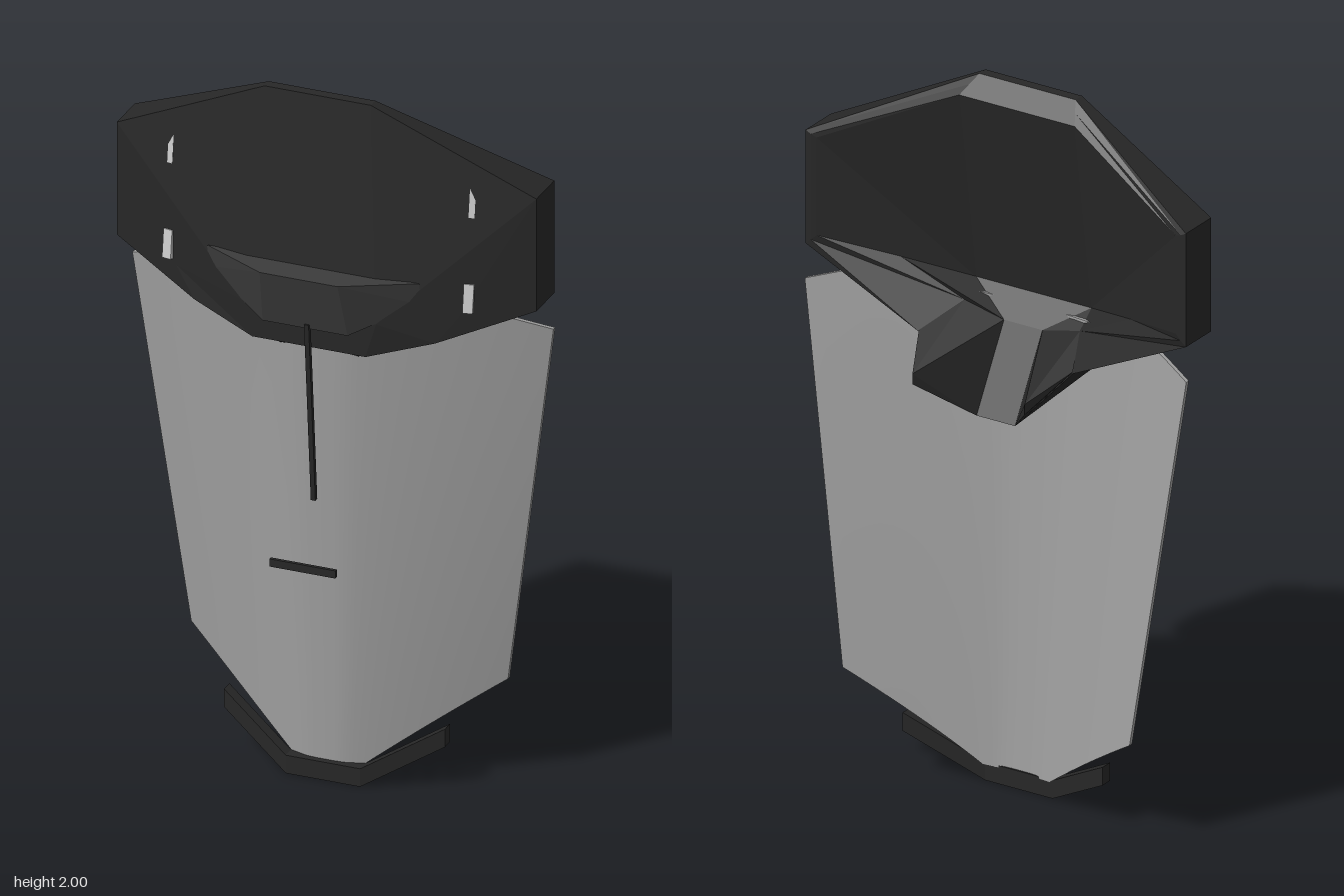
import * as THREE from 'three';
import { ConvexGeometry } from 'three/addons/geometries/ConvexGeometry.js';

const dark = new THREE.MeshStandardMaterial({ color: 0x272727, flatShading: true, side: THREE.DoubleSide });
const billDark = new THREE.MeshStandardMaterial({ color: 0x3c3c3c, flatShading: true });
const grey = new THREE.MeshStandardMaterial({ color: 0xa0a0a0 });
const light = new THREE.MeshStandardMaterial({ color: 0xcccccc });

function add(group, name, geometry, material, x = 0, y = 0, z = 0) {
  const mesh = new THREE.Mesh(geometry, material);
  mesh.name = name;
  mesh.position.set(x, y, z);
  group.add(mesh);
  return mesh;
}

// Move every vertex of a geometry by a rule
function warp(geometry, rule) {
  const p = geometry.attributes.position;
  const v = new THREE.Vector3();
  for (let i = 0; i < p.count; i++) {
    rule(v.fromBufferAttribute(p, i));
    p.setXYZ(i, v.x, v.y, v.z);
  }
  geometry.computeVertexNormals();
  return geometry;
}

const hull = (points) => new ConvexGeometry(points.map((p) => new THREE.Vector3(...p)));
const mirrored = (points) => points.concat(points.map(([x, y, z]) => [-x, y, z]));

// Full ten-point ring from its +x half: top, shoulder, side, lower, bottom
function ring([t, s, l, m, b]) {
  const n = ([x, y, z]) => [-x, y, z];
  return [t, n(t), n(s), n(l), n(m), n(b), b, m, l, s];
}

// Hollow brow shell lofted from the front panel, under the lip, round the rim, into the inside
function browGeometry() {
  const front = [[0.15, 2, 0.09], [0.593, 1.785, 0.03], [0.593, 1.46, 0.03]];
  const rings = [
    [...front, [0.4, 1.435, 0.09], [0.19, 1.4, 0.15]],
    [...front, [0.34, 1.355, 0.11], [0.16, 1.3, 0.15]],
    [...front, [0.3, 1.335, 0.06], [0.115, 1.272, 0.09]],
    [[0.15, 2, 0.06], [0.593, 1.785, -0.09], [0.593, 1.46, -0.09], [0.24, 1.295, -0.09], [0.06, 1.1, -0.09]],
    [[0.165, 1.975, 0.035], [0.577, 1.777, -0.091], [0.577, 1.475, -0.091], [0.18, 1.355, 0.035], [0.06, 1.325, 0.04]],
    [[0.18, 1.95, 0.01], [0.56, 1.77, -0.088], [0.56, 1.49, -0.088], [0.36, 1.445, 0.005], [0.18, 1.4, 0.09]],
  ].map(ring);
  const last = rings.length - 1;
  const cap = [[0, 1, 5], [0, 5, 6], [1, 2, 5], [2, 3, 4], [2, 4, 5], [0, 6, 9], [9, 6, 7], [9, 7, 8]];
  const out = [];
  const tri = (...corners) => {
    if (new Set(corners.map(String)).size === 3) out.push(...corners.flat());
  };
  for (const [i, j, k] of cap) {
    tri(rings[0][i], rings[0][j], rings[0][k]);
    tri(rings[last][k], rings[last][j], rings[last][i]);
  }
  for (let r = 0; r < last; r++) {
    const a = rings[r], b = rings[r + 1];
    for (let i = 0; i < 10; i++) {
      const j = (i + 1) % 10;
      tri(a[i], b[i], b[j]);
      tri(a[i], b[j], a[j]);
    }
  }
  const g = new THREE.BufferGeometry();
  g.setAttribute('position', new THREE.Float32BufferAttribute(out, 3));
  g.computeVertexNormals();
  return g;
}

// Curved face plate: a thin box bent back at the sides and tapered to the chin
function plateGeometry() {
  const { lerp, clamp } = THREE.MathUtils;
  return warp(new THREE.BoxGeometry(2, 1, 0.012, 32, 6, 1), (v) => {
    const u = Math.abs(v.x);
    const low = lerp(0.05, 0.3, clamp((u - 0.24) / 0.76, 0, 1));
    const high = u > 0.75 ? lerp(1.405, 1.36, (u - 0.75) / 0.25) : lerp(1.36, 1.405, u / 0.75);
    const y = lerp(low, high, v.y + 0.5);
    v.x *= 0.595 - 0.139 * (1.36 - y);
    v.z += 0.028 + 0.0425 * y - 0.171 * Math.pow(Math.max(0, u - 0.1) / 0.9, 1.25);
    v.y = y;
  });
}

export function createModel() {
  const model = new THREE.Group();
  model.name = 'facePlateMask';

  add(model, 'facePlate', plateGeometry(), grey);
  add(model, 'browShell', browGeometry(), dark);

  // Angular bill in front of the brow
  add(model, 'bill', hull(mirrored([
    [0.3, 1.525, 0.12], [0.11, 1.525, 0.219], [0.3, 1.46, 0.11],
    [0.12, 1.365, 0.175], [0.12, 1.365, 0.13],
  ])), billDark);

  for (const s of [-1, 1]) {
    // Pointed nose bracket behind the brow, either side of the sloping bridge
    add(model, 'noseBracket', hull([
      [0.24, 1.3, -0.09], [0.175, 1.24, -0.219], [0.175, 1.21, -0.219],
      [0.06, 1.1, -0.09], [0.06, 1.325, 0.04], [0.18, 1.355, 0.035],
    ].map(([x, y, z]) => [s * x, y, z])), dark);

    // Pale clips lying on the brow panel
    add(model, 'upperClip', new THREE.BoxGeometry(0.016, 0.12, 0.014), light, s * 0.425, 1.775, 0.056)
      .rotation.set(-0.13, s * 0.22, 0);
    add(model, 'lowerClip', new THREE.BoxGeometry(0.027, 0.08, 0.014), light, s * 0.424, 1.49, 0.084)
      .rotation.set(-0.13, s * 0.22, 0);
  }

  // Nose rod and mouth bar standing off the plate
  add(model, 'noseRod', new THREE.BoxGeometry(0.013, 0.53, 0.013), dark, 0.007, 1.115, 0.154).rotation.x = 0.086;
  add(model, 'mouthBar', new THREE.BoxGeometry(0.186, 0.022, 0.01), dark, -0.003, 0.672, 0.18);

  // Chin bar bent in three straight runs
  add(model, 'chinBar', warp(new THREE.BoxGeometry(3, 0.052, 0.036, 3, 1, 1), (v) => {
    const end = Math.abs(v.x) > 1;
    v.x = Math.sign(v.x) * (end ? 0.312 : 0.105);
    v.y += end ? 0.148 : 0.029;
    v.z += end ? -0.04 : 0.037;
  }), dark);

  return model;
}
